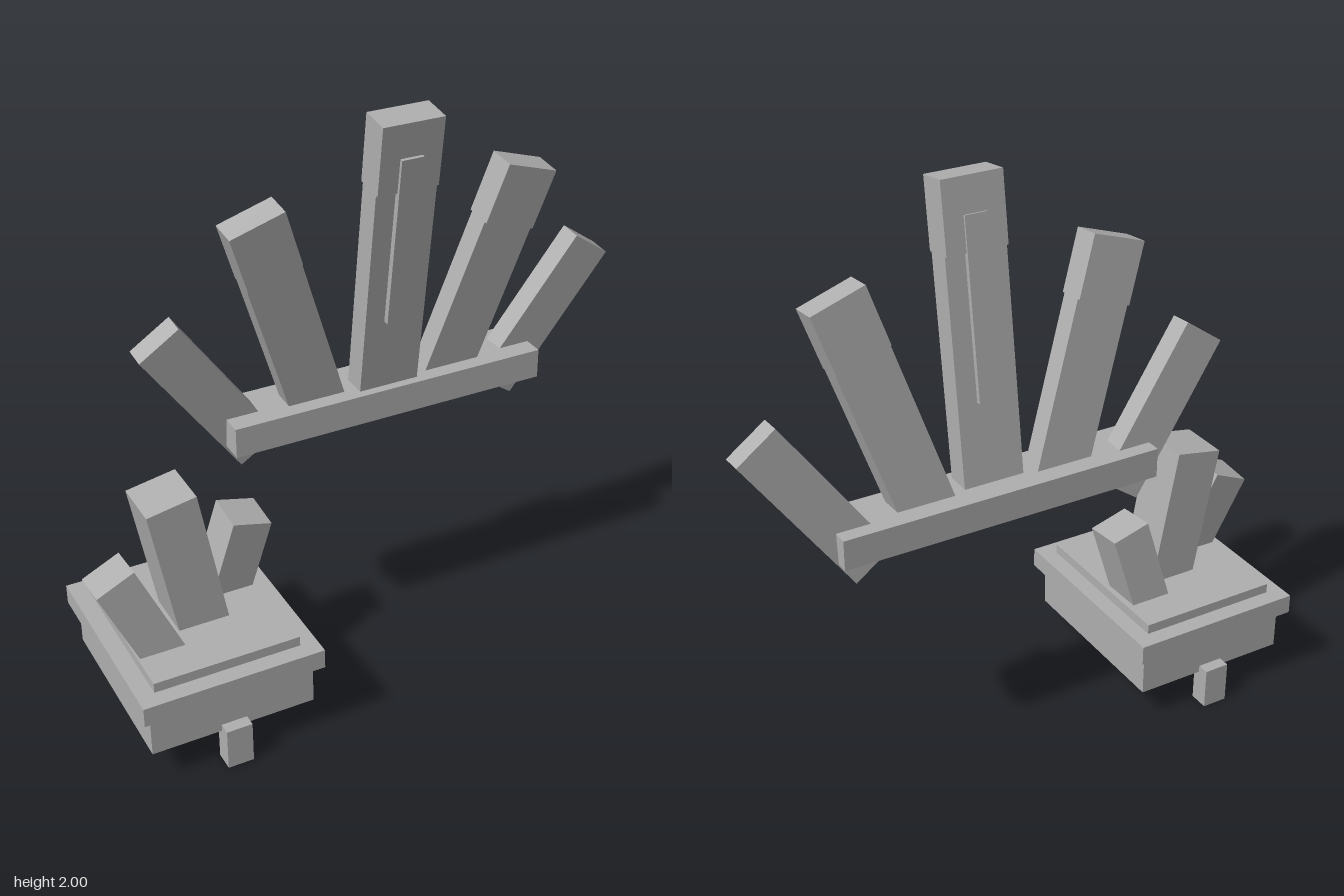
import * as THREE from 'three';

const grey = new THREE.MeshStandardMaterial({ color: 0xb0b0b0 });
grey.name = 'plain grey';

function box(parent, name, size, pos) {
  const mesh = new THREE.Mesh(new THREE.BoxGeometry(...size), grey);
  mesh.name = name;
  mesh.position.set(...pos);
  parent.add(mesh);
  return mesh;
}

// A tilted group whose origin is the centre of the block's top end
function tilted(parent, name, top, rx, rz) {
  const g = new THREE.Group();
  g.name = name;
  g.position.set(...top);
  g.rotation.set(rx, 0, rz);
  parent.add(g);
  return g;
}

// Slat hanging down from its top end, with an optional thicker tip
function slat(parent, name, top, rx, rz, [w, h, d], tipLength = 0, tipDepth = 0) {
  const g = tilted(parent, name, top, rx, rz);
  const shaft = h - tipLength;
  box(g, name + 'Shaft', [w, shaft, d], [0, -tipLength - shaft / 2, 0]);
  if (tipLength) box(g, name + 'Tip', [w, tipLength, tipDepth], [0, -tipLength / 2, 0]);
  return g;
}

export function createModel() {
  const model = new THREE.Group();
  model.name = 'planterAndFan';

  // Planter: stacked slabs on two feet
  const planter = new THREE.Group();
  planter.name = 'planter';
  planter.position.x = -0.636;
  model.add(planter);
  box(planter, 'planterBody', [0.57, 0.15, 0.655], [0, 0.2, 0]);
  box(planter, 'planterRim', [0.628, 0.07, 0.72], [0, 0.31, 0]);
  box(planter, 'planterTop', [0.508, 0.036, 0.6], [0, 0.362, 0]);
  for (const s of [1, -1])
    box(planter, s > 0 ? 'frontFoot' : 'backFoot', [0.09, 0.15, 0.07], [0, 0.075, s * 0.335]);

  // Three leaning blocks standing on the planter
  slat(model, 'tallBlock', [-0.715, 0.862, 0], 0, 0.178, [0.174, 0.53, 0.18]);
  slat(model, 'rightBlock', [-0.934, 0.662, 0.07], -0.09, 0.42, [0.142, 0.36, 0.14]);
  slat(model, 'leftBlock', [-0.404, 0.652, -0.073], 0.1, -0.26, [0.142, 0.32, 0.145]);

  // Fan: crossbar with five slats
  const fan = new THREE.Group();
  fan.name = 'fan';
  fan.position.x = 0.125;
  model.add(fan);
  box(fan, 'fanBar', [1.14, 0.105, 0.204], [0, 0.961, -0.115]);

  const middle = slat(fan, 'middleSlat', [0, 1.993, 0.048], 0.138, 0, [0.214, 1.05, 0.086], 0.237, 0.107);
  box(middle, 'middleRib', [0.077, 0.6, 0.126], [0, -0.418, 0.002]);

  for (const s of [1, -1]) {
    const side = s > 0 ? 'left' : 'right';
    slat(fan, side + 'InnerSlat', [s * 0.485, 1.722, -0.03], 0.11, -s * 0.314, [0.193, 0.836, 0.08], 0.212, 0.1);
    slat(fan, side + 'OuterSlat', [s * 0.792, 1.352, -0.098], 0.08, -s * 0.611, [0.161, 0.594, 0.08]);
  }
  return model;
}
